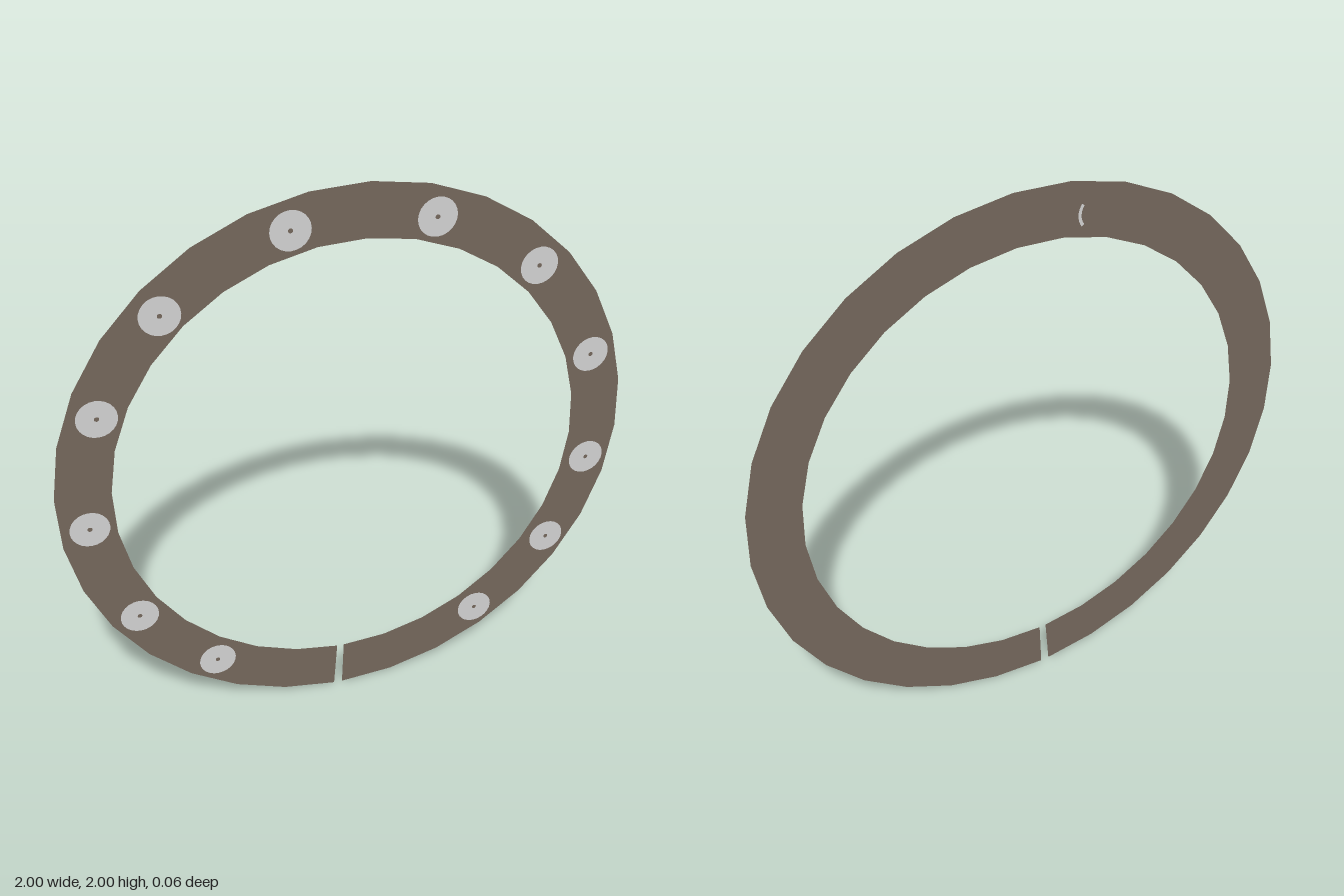
import * as THREE from 'three';

export function createModel() {
  const rad = THREE.MathUtils.degToRad;
  const brown = new THREE.MeshStandardMaterial({ color: 0x73665b, side: THREE.DoubleSide });
  brown.name = 'brown band';
  const grey = new THREE.MeshStandardMaterial({ color: 0xd0d0d0, side: THREE.DoubleSide });
  grey.name = 'pale grey';

  const model = new THREE.Group();
  model.name = 'studdedCollar';

  // Slightly tilted carrier for all the flat parts
  const collar = new THREE.Group();
  collar.name = 'collar';
  collar.position.set(0, 1, -0.009);
  collar.rotation.set(0.005, -0.0235, 0);
  model.add(collar);

  function add(name, geometry, material, x, y, z) {
    const mesh = new THREE.Mesh(geometry, material);
    mesh.name = name;
    mesh.position.set(x, y, z);
    collar.add(mesh);
    return mesh;
  }

  // Flat band, open by a narrow slit at the bottom
  add('band', new THREE.RingGeometry(0.817, 1, 32, 1, rad(-92.4), rad(358.2)), brown, 0, 0, 0);

  // Round studs with a pinhole in the middle, set by their angle round the band
  const studShape = new THREE.RingGeometry(0.008, 0.066, 24);
  const angles = [72.5, 45.4, 17.7, -10, -32.7, -57.5, -124.8, -149, 184.1, 157.6, 132.7, 102.8];
  for (const a of angles) {
    add('stud', studShape, grey, 0.902 * Math.cos(rad(a)), 0.902 * Math.sin(rad(a)), 0.012);
  }

  // Sliver of a stud edge showing through on the back
  add('studEdge', new THREE.RingGeometry(0.055, 0.066, 8, 1, rad(-35), rad(70)), grey,
    -0.23, 0.87, -0.002);

  return model;
}
